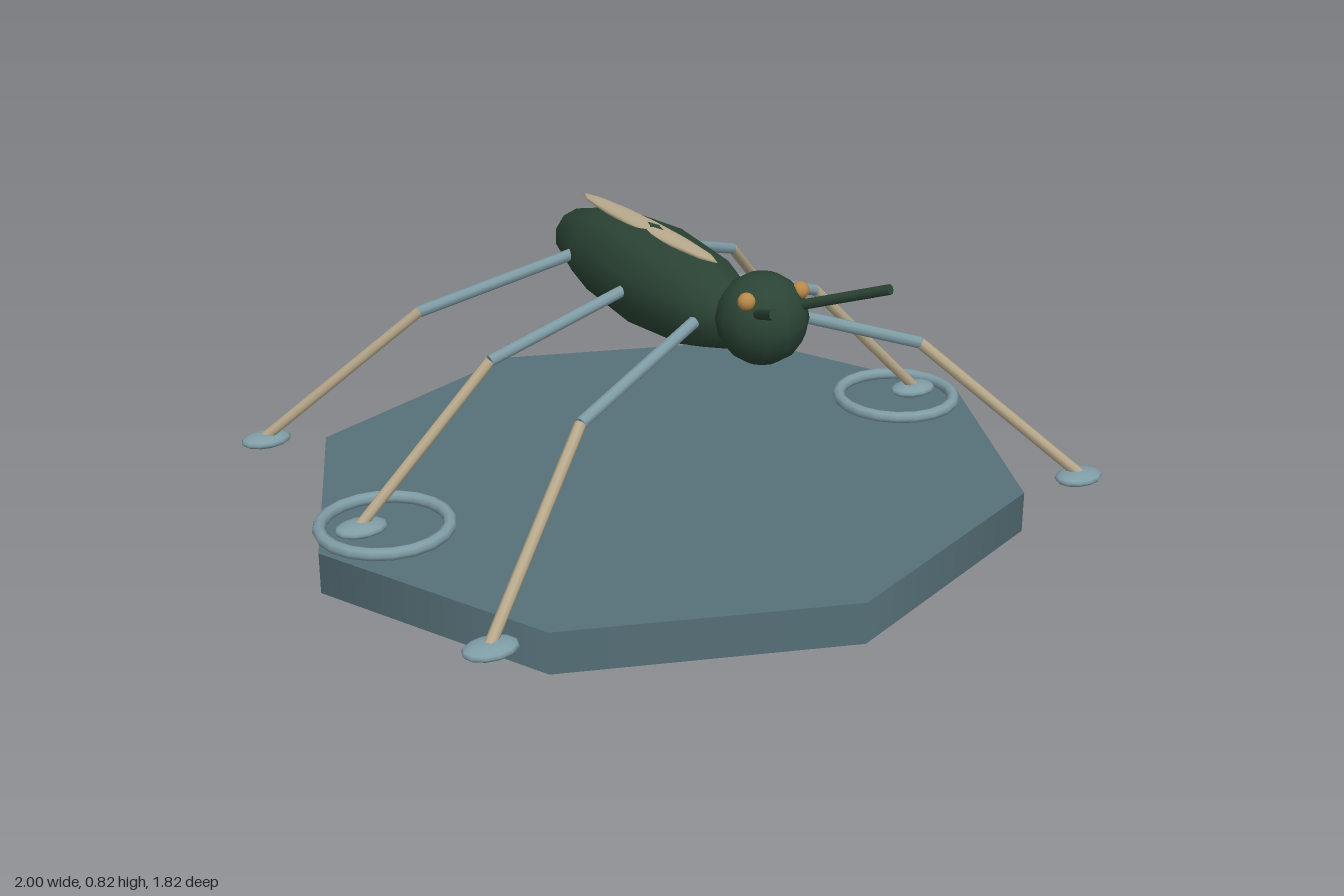
import * as THREE from 'three';

const mat = (color) => new THREE.MeshStandardMaterial({ color });
const slate = mat(0x567078), green = mat(0x2b4435), steel = mat(0x7f9ca5), tan = mat(0xb9aa8c), amber = mat(0xb98a48);
const V = (x, y, z) => new THREE.Vector3(x, y, z);

export function createModel() {
  const model = new THREE.Group();

  function add(name, geometry, material, position, parent = model) {
    const mesh = new THREE.Mesh(geometry, material);
    mesh.name = name;
    mesh.position.copy(position);
    parent.add(mesh);
    return mesh;
  }

  // Straight rod between two points
  function rod(name, a, b, radius, material, parent) {
    const mesh = add(name, new THREE.CylinderGeometry(radius, radius, a.distanceTo(b), 8), material,
      a.clone().add(b).multiplyScalar(0.5), parent);
    mesh.quaternion.setFromUnitVectors(V(0, 1, 0), b.clone().sub(a).normalize());
    return mesh;
  }

  // Stretched sphere
  function ellipsoid(name, rx, ry, rz, material, position, parent, w = 12, h = 8) {
    return add(name, new THREE.SphereGeometry(1, w, h).scale(rx, ry, rz), material, position, parent);
  }

  // Octagonal plinth
  add('base', new THREE.CylinderGeometry(1, 1, 0.11, 8).scale(1, 1, 0.91), slate, V(0, 0.055, 0));

  // Long body with its poles at the head and tail, ridge on top
  const bodyShape = new THREE.SphereGeometry(1, 10, 6).rotateY(Math.PI / 2).rotateX(Math.PI / 2);
  add('body', bodyShape.rotateZ(Math.PI).scale(0.14, 0.14, 0.48), green, V(0, 0.635, -0.05));
  ellipsoid('head', 0.115, 0.115, 0.115, green, V(0, 0.677, 0.45), model, 12, 8);

  // Thin folded wing case along the back
  ellipsoid('wing', 0.034, 0.014, 0.34, tan, V(0, 0.758, -0.09), model, 12, 10);

  for (const side of [1, -1]) {
    const half = new THREE.Group();
    half.name = side > 0 ? 'leftSide' : 'rightSide';
    model.add(half);

    ellipsoid('eye', 0.022, 0.022, 0.022, amber, V(side * 0.078, 0.748, 0.497), half);
    rod('antenna', V(side * 0.06, 0.72, 0.52), V(side * 0.163, 0.808, 0.738), 0.013, green, half);

    // Front, middle and rear legs: hip, knee and foot depth
    for (const [name, hipZ, kneeZ, footZ] of [
      ['frontLeg', 0.3, 0.438, 0.67],
      ['middleLeg', -0.005, -0.025, -0.038],
      ['rearLeg', -0.31, -0.44, -0.677],
    ]) {
      const leg = new THREE.Group();
      leg.name = name;
      half.add(leg);
      const hip = V(side * 0.1, 0.637, hipZ), knee = V(side * 0.5, 0.507, kneeZ), ankle = V(side * 0.87, 0.137, footZ);
      rod('upperLeg', hip, knee, 0.016, steel, leg);
      rod('lowerLeg', knee, ankle, 0.015, tan, leg);
      ellipsoid('foot', 0.07, 0.019, 0.05, steel, V(side * 0.868, 0.13, footZ), leg);
    }

    // Flat ring around the middle foot
    add('ring', new THREE.TorusGeometry(0.165, 0.017, 8, 20).rotateX(Math.PI / 2), steel,
      V(side * 0.805, 0.123, -0.036), half);
  }
  return model;
}
